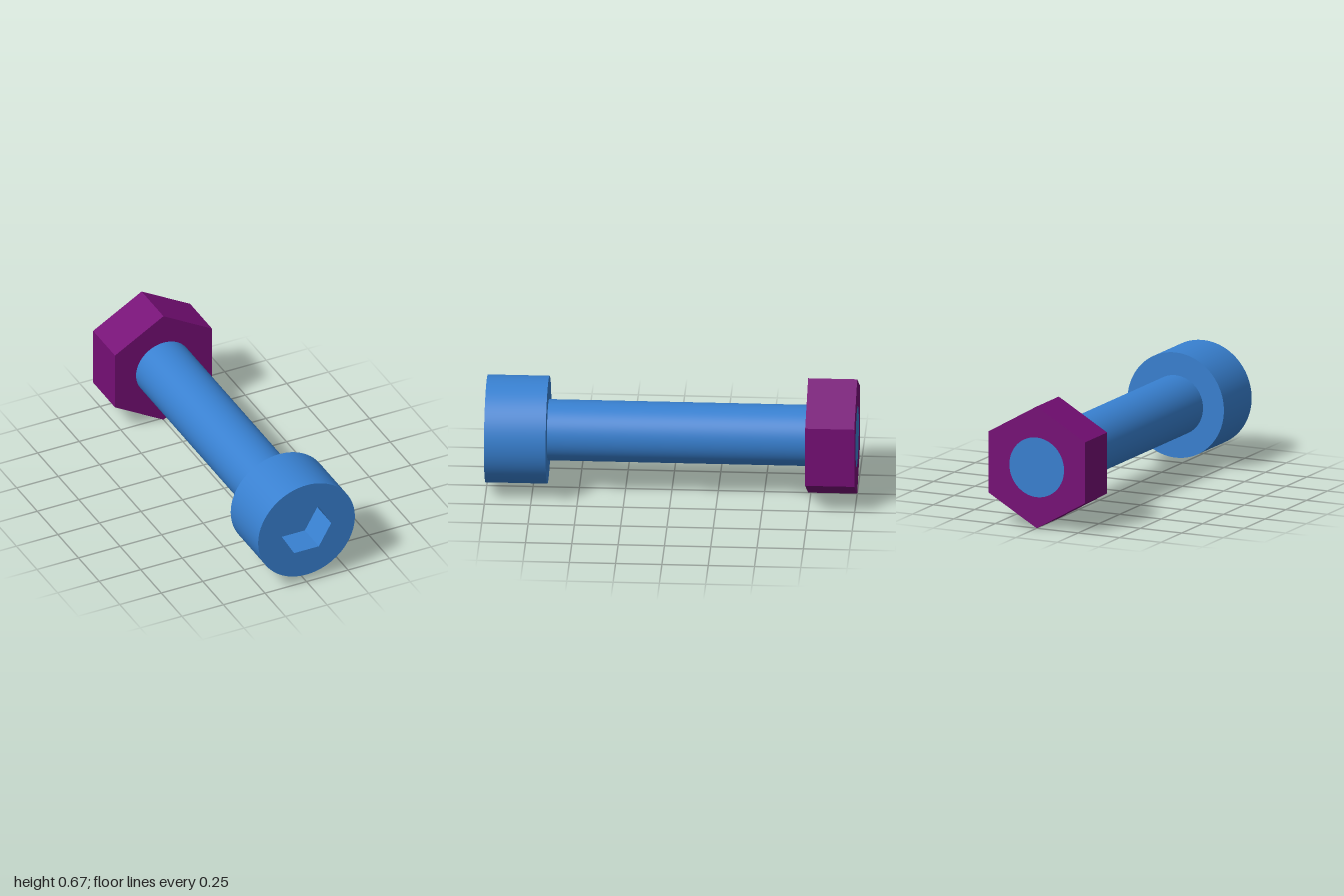
import * as THREE from 'three';
import { toCreasedNormals } from 'three/addons/utils/BufferGeometryUtils.js';

const SIDES = 96;
const AXIS_Y = 0.337;
const SHANK_R = 0.165, HEAD_R = 0.291, NUT_R = 0.337, SOCKET_R = 0.149;
const HEAD_BACK = 0.667, SOCKET_FLOOR = 0.83, NUT_DEPTH = 0.265;

// Points of a regular polygon
function ring(radius, sides, start = 0) {
  return Array.from({ length: sides }, (_, i) => {
    const a = start + (i / sides) * Math.PI * 2;
    return new THREE.Vector2(radius * Math.cos(a), radius * Math.sin(a));
  });
}

// Shape with one polygonal hole
function plate(outer, inner) {
  const shape = new THREE.Shape(outer);
  shape.holes.push(new THREE.Path(inner));
  return shape;
}

// Profile of [radius, z] pairs turned around the z axis
function turned(profile, sides) {
  const points = profile.map(([r, z]) => new THREE.Vector2(r, z));
  const geometry = new THREE.LatheGeometry(points, sides, Math.PI / 2);
  geometry.rotateX(Math.PI / 2);
  return toCreasedNormals(geometry, 0.5);
}

export function createModel() {
  const blue = new THREE.MeshStandardMaterial({ color: 0x3880d0 });
  blue.name = 'blue';
  const purple = new THREE.MeshStandardMaterial({ color: 0x760e76 });
  purple.name = 'purple';

  const model = new THREE.Group();
  model.name = 'boltAndNut';
  const add = (parent, name, geometry, material) => {
    const mesh = new THREE.Mesh(geometry, material);
    mesh.name = name;
    parent.add(mesh);
    return mesh;
  };

  // Bolt: shank, cap head and hexagonal socket
  const bolt = new THREE.Group();
  bolt.name = 'bolt';
  model.add(bolt);
  add(bolt, 'shank', turned([[0, -1], [SHANK_R, -1], [SHANK_R, HEAD_BACK]], SIDES), blue);
  add(bolt, 'head', turned([[SHANK_R, HEAD_BACK], [HEAD_R, HEAD_BACK], [HEAD_R, 1]], SIDES), blue);
  const face = new THREE.ShapeGeometry(plate(ring(HEAD_R, SIDES), ring(SOCKET_R, 6)));
  add(bolt, 'headFace', face, blue).position.z = 1;
  add(bolt, 'socket', turned([[SOCKET_R, 1], [SOCKET_R, SOCKET_FLOOR], [0, SOCKET_FLOOR]], 6), blue);

  // Hexagonal nut, flush with the end of the shank
  const nut = new THREE.ExtrudeGeometry(
    plate(ring(NUT_R, 6, Math.PI / 2), ring(SHANK_R, SIDES)),
    { depth: NUT_DEPTH, bevelEnabled: false }
  );
  add(model, 'nut', toCreasedNormals(nut, 0.5), purple).position.z = -1;

  for (const part of model.children) part.position.y = AXIS_Y;
  return model;
}
